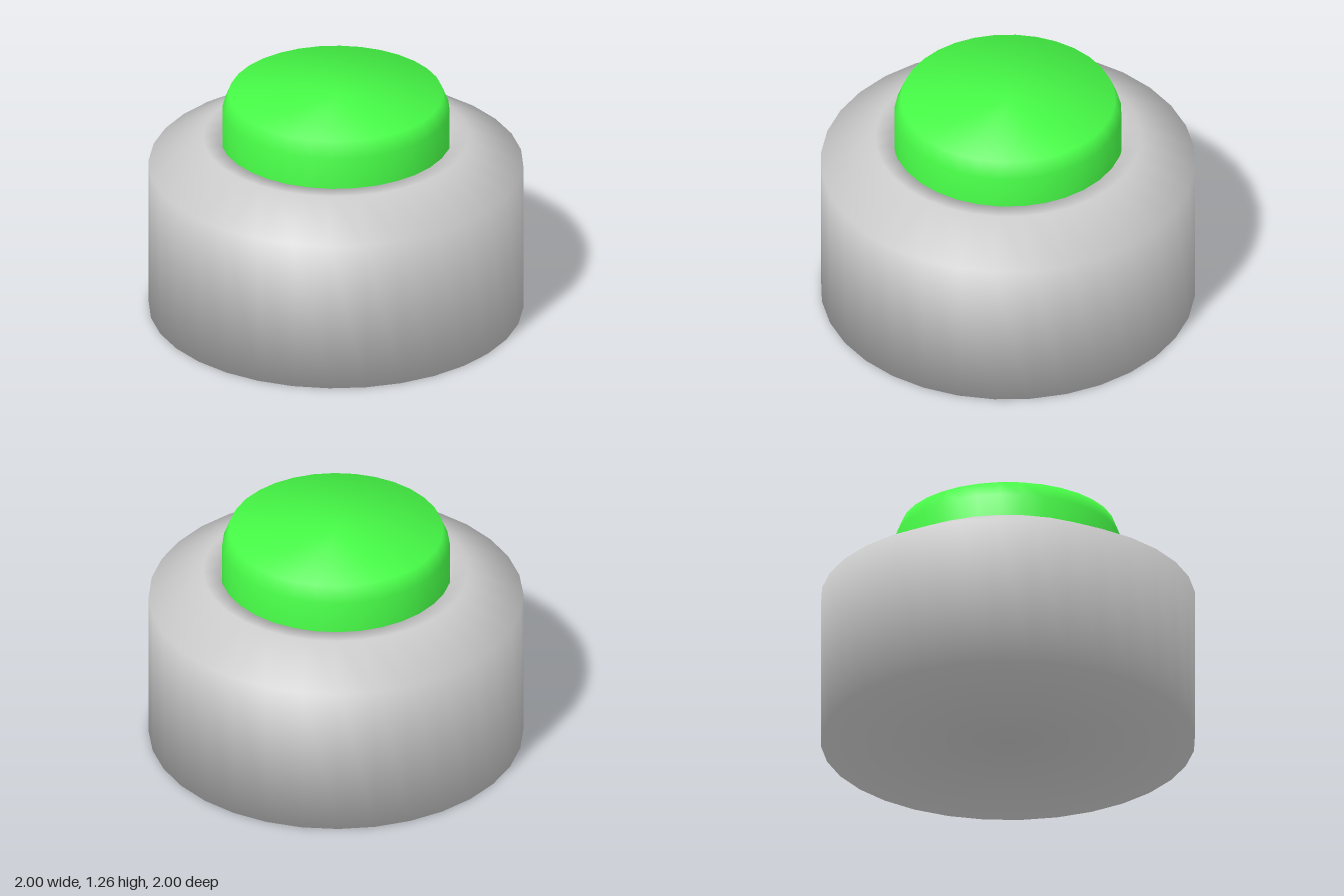
import * as THREE from 'three';

const SIDES = 32;

// Turned part with smooth normals; both neighbouring slopes count equally at each ring.
function turned(name, profile, color) {
  const points = profile.map(([r, y]) => new THREE.Vector2(r, y));
  const geometry = new THREE.LatheGeometry(points, SIDES);
  const slopes = points.slice(1).map((p, i) => {
    const d = p.clone().sub(points[i]).normalize();
    return new THREE.Vector2(d.y, -d.x);
  });
  const normal = geometry.attributes.normal;
  for (let s = 0; s <= SIDES; s++) {
    const a = (s / SIDES) * Math.PI * 2;
    points.forEach((_, j) => {
      const before = slopes[Math.max(j - 1, 0)];
      const after = slopes[Math.min(j, slopes.length - 1)];
      const n = before.clone().add(after).normalize();
      normal.setXYZ(s * points.length + j, n.x * Math.sin(a), n.y, n.x * Math.cos(a));
    });
  }
  const mesh = new THREE.Mesh(geometry, new THREE.MeshStandardMaterial({ color }));
  mesh.name = name;
  return mesh;
}

export function createModel() {
  const model = new THREE.Group();
  model.name = 'pushButton';

  // Round housing with a sloped shoulder and a socket for the button
  model.add(turned('housing', [
    [0, 0], [1, 0], [1, 0.845], [0.71, 1], [0.62, 1], [0.62, 0.92], [0, 0.92],
  ], 0xcccccc));

  // Chamfered button cap seated in the socket
  model.add(turned('buttonCap', [
    [0.607, 0.92], [0.607, 1.17], [0.572, 1.258], [0, 1.258],
  ], 0x47fc47));

  return model;
}
